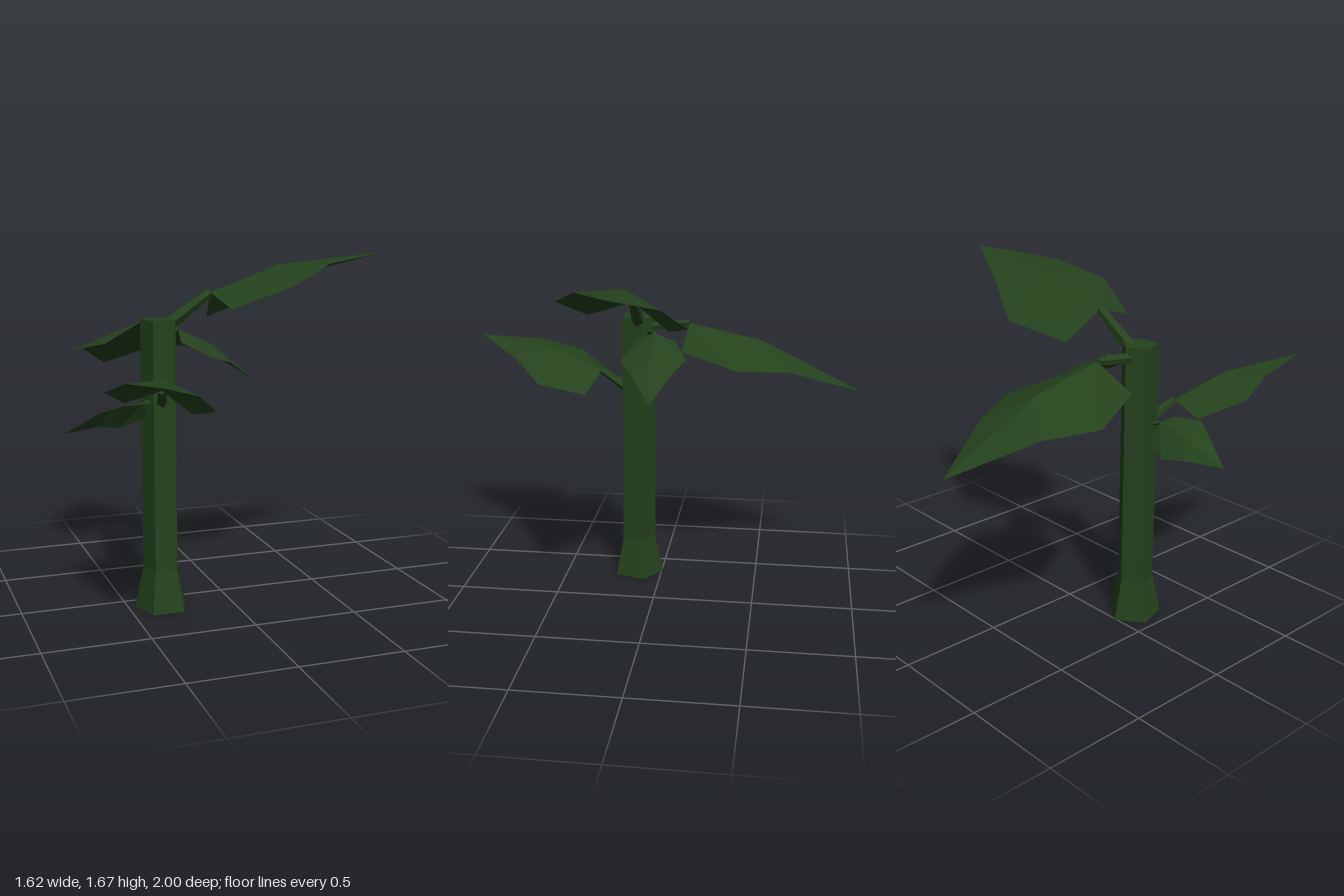
import * as THREE from 'three';

const green = new THREE.MeshStandardMaterial({ color: 0x24421c, flatShading: true, side: THREE.DoubleSide });
const V = (a) => new THREE.Vector3(...a);

// Half of a folded leaf blade, as [along, up, out] on a chord of length 0.921
const LENGTH = 0.921;
const RIB = [[0, 0, 0], [0.375, 0.056, 0], [LENGTH, 0, 0]];
const EDGE = [[0.019, -0.105, 0.2], [0.304, -0.066, 0.313], [0.537, -0.003, 0.195]];

function bladeGeometry() {
  const pos = [];
  const [base, mid, tip] = RIB;
  for (const side of [1, -1]) {
    const [corner, wide, shoulder] = EDGE.map(([u, v, w]) => [u, v, w * side]);
    const tris = [[base, corner, wide], [base, wide, mid], [mid, wide, shoulder], [mid, shoulder, tip]];
    for (const [a, b, c] of tris) {
      for (const p of side > 0 ? [a, c, b] : [a, b, c]) pos.push(...p);
    }
  }
  // wind so that the upper face is the front
  for (let i = 0; i < pos.length; i += 9) {
    for (let k = 3; k < 6; k++) [pos[i + k], pos[i + k + 3]] = [pos[i + k + 3], pos[i + k]];
  }
  const g = new THREE.BufferGeometry();
  g.setAttribute('position', new THREE.Float32BufferAttribute(pos, 3));
  g.computeVertexNormals();
  return g;
}

// Blade from base to tip, rolled so its width follows "across"
function makeBlade(geometry, base, tip, across) {
  const along = tip.clone().sub(base);
  const scale = along.length() / LENGTH;
  along.normalize();
  const up = across.clone().cross(along).normalize();
  const out = along.clone().cross(up);
  const blade = new THREE.Mesh(geometry, green);
  blade.name = 'leafBlade';
  blade.quaternion.setFromRotationMatrix(new THREE.Matrix4().makeBasis(along, up, out));
  blade.position.copy(base);
  blade.scale.setScalar(scale);
  return blade;
}

// Tapered five-sided stalk between two points
function makeStalk(from, to, radius) {
  const dir = to.clone().sub(from);
  const stalk = new THREE.Mesh(new THREE.CylinderGeometry(radius * 0.65, radius, dir.length(), 5), green);
  stalk.name = 'leafStalk';
  stalk.position.copy(from).add(to).multiplyScalar(0.5);
  stalk.quaternion.setFromUnitVectors(new THREE.Vector3(0, 1, 0), dir.normalize());
  return stalk;
}

export function createModel() {
  const model = new THREE.Group();
  model.name = 'plant';

  // Five-sided stem with a flared foot, one corner towards the back
  const profile = [[0, 0], [0.132, 0], [0.09, 0.2], [0.09, 1.39], [0, 1.39]];
  const stem = new THREE.Mesh(
    new THREE.LatheGeometry(profile.map((p) => new THREE.Vector2(...p)), 5, Math.PI),
    green
  );
  stem.name = 'stem';
  stem.position.set(-0.34, 0, 0.125);
  model.add(stem);

  // Leaves: stalk root, blade base, blade tip, width direction, stalk radius
  const leaves = [
    ['backLeaf', [-0.34, 1.335, 0.06], [-0.34, 1.36, -0.14], [-0.34, 1.035, -1], [1, 0, 0], 0.028],
    ['upperLeftLeaf', [-0.3, 1.36, 0.115], [-0.09, 1.505, 0.11], [0.81, 1.675, 0.1], [-0.02, 0.11, 0.62], 0.034],
    ['frontLeaf', [-0.35, 1.01, 0.18], [-0.39, 1.09, 0.32], [-0.58, 1.22, 1], [-0.465, 0.085, -0.16], 0.027],
    ['smallRightLeaf', [-0.36, 1.0, 0.14], [-0.43, 1.02, 0.18], [-0.81, 0.9, 0.2], [0.03, -0.12, -0.19], 0.014],
    ['smallLeftLeaf', [-0.32, 1.31, 0.07], [-0.22, 1.33, 0.025], [0.17, 1.065, 0], [0, 0, 1], 0.016],
  ];
  const blade = bladeGeometry();
  for (const [name, root, base, tip, across, radius] of leaves) {
    const leaf = new THREE.Group();
    leaf.name = name;
    leaf.add(makeStalk(V(root), V(base), radius), makeBlade(blade, V(base), V(tip), V(across)));
    model.add(leaf);
  }
  return model;
}
